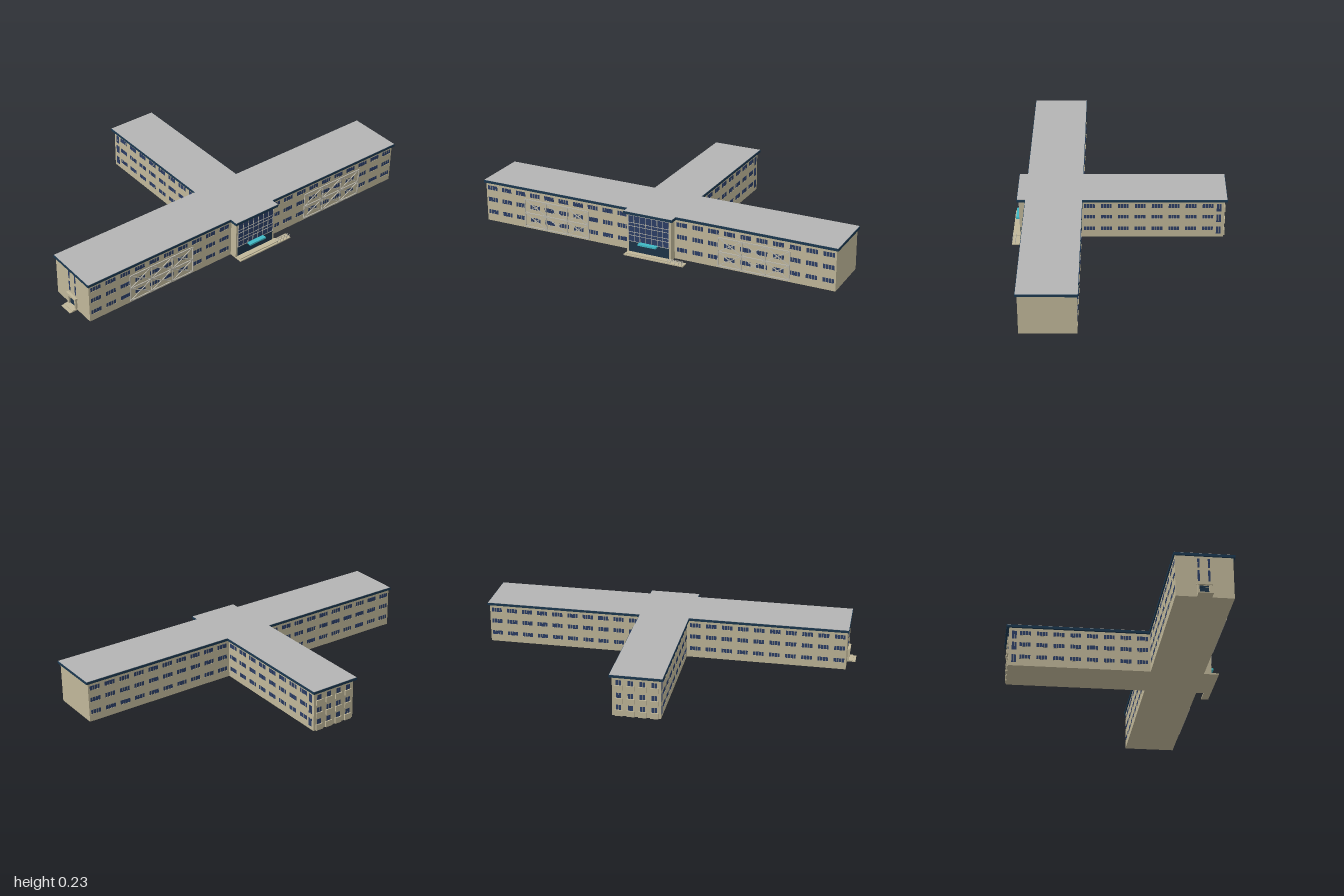
import * as THREE from 'three';
import { mergeGeometries } from 'three/addons/utils/BufferGeometryUtils.js';

const mat = (color) => new THREE.MeshStandardMaterial({ color });
const WALL = mat(0xc0b799), GLASS = mat(0x2c3e66), FASCIA = mat(0x1b3850), ROOF = mat(0xb4b4b4);
const STEEL = mat(0xb9b6aa), CANOPY = mat(0x3fb8c4), DOOR = mat(0x1d3448);

// Box given by its lower and upper corners
function box(x0, x1, y0, y1, z0, z1) {
  return new THREE.BoxGeometry(x1 - x0, y1 - y0, z1 - z0)
    .translate((x0 + x1) / 2, (y0 + y1) / 2, (z0 + z1) / 2);
}

// Slanted square bar between two points of a facade
function bar(x0, y0, x1, y1, t, z) {
  return new THREE.BoxGeometry(Math.hypot(x1 - x0, y1 - y0), t, t)
    .rotateZ(Math.atan2(y1 - y0, x1 - x0)).translate((x0 + x1) / 2, (y0 + y1) / 2, z);
}

function add(parent, name, geos, material) {
  const mesh = new THREE.Mesh(Array.isArray(geos) ? mergeGeometries(geos) : geos, material);
  mesh.name = name;
  parent.add(mesh);
  return mesh;
}

// Facade: local x runs along the wall, local z points outwards
function facade(parent, name, x, z, angle) {
  const g = new THREE.Group();
  g.name = name;
  g.position.set(x, 0, z);
  g.rotation.y = angle;
  parent.add(g);
  return g;
}

const FLOORS = [[0.04, 0.062], [0.109, 0.132], [0.174, 0.197]];

// Three floors of window groups with four panes each, between local a and b
function windows(parent, a, b, count) {
  const width = 0.056, pitch = (b - a - width) / (count - 1), panes = 4, gap = 0.0025;
  const pane = (width - gap * (panes - 1)) / panes;
  const glass = [], sills = [];
  for (const [y0, y1] of FLOORS) {
    for (let i = 0; i < count; i++) {
      const x = a + i * pitch;
      for (let j = 0; j < panes; j++) {
        const p = x + j * (pane + gap);
        glass.push(box(p, p + pane, y0, y1, -0.001, 0.001));
      }
      sills.push(box(x, x + width, y0 - 0.002, y0, -0.001, 0.002));
    }
  }
  add(parent, 'windows', glass, GLASS);
  add(parent, 'windowSills', sills, WALL);
}

// Braced steel frame, three bays wide and two tall
function truss(parent, a, b) {
  const parts = [], t = 0.005, z = 0.003, ys = [0.01, 0.085, 0.16], w = (b - a) / 3;
  for (const y of ys) parts.push(bar(a, y, b, y, t, z));
  for (let i = 0; i <= 3; i++) {
    const x = a + i * w;
    parts.push(bar(x, ys[0], x, ys[2], t, z));
    if (i === 3) break;
    for (let k = 0; k < 2; k++) {
      parts.push(bar(x, ys[k], x + w, ys[k + 1], t * 0.8, z));
      parts.push(bar(x, ys[k + 1], x + w, ys[k], t * 0.8, z));
    }
  }
  add(parent, 'bracedFrame', parts, STEEL);
}

// Flat plan made of the long bar, the wing and the entrance bay
function plan(x0, x1, xw, xe, z0, z1, w0, w1, y0, y1) {
  const points = [[x0, z1], [x1, z1], [x1, w1], [xe, w1], [xe, w0], [x1, w0], [x1, z0],
    [x0, z0], [x0, w0], [xw, w0], [xw, w1], [x0, w1]];
  const shape = new THREE.Shape(points.map(([x, z]) => new THREE.Vector2(x, -z)));
  return new THREE.ExtrudeGeometry(shape, { depth: y1 - y0, bevelEnabled: false })
    .rotateX(-Math.PI / 2).translate(0, y0, 0);
}

export function createModel() {
  const model = new THREE.Group();
  model.name = 'building';
  const R = Math.PI / 2;

  // Walls, fascia and roof
  add(model, 'walls', plan(0.195, 0.473, -0.54, 0.513, -0.99, 0.955, -0.143, 0.103, 0, 0.214), WALL);
  add(model, 'fascia', plan(0.188, 0.483, -0.555, 0.526, -1, 0.963, -0.155, 0.115, 0.213, 0.226), FASCIA);
  add(model, 'roof', plan(0.19, 0.481, -0.553, 0.524, -0.998, 0.961, -0.153, 0.113, 0.226, 0.228), ROOF);

  // Long sides of the bar
  const east = facade(model, 'eastFacade', 0.473, 0, R);
  windows(east, -0.945, -0.12, 10);
  windows(east, 0.155, 0.98, 10);
  truss(east, 0.38, 0.755);
  truss(east, -0.72, -0.345);
  const west = facade(model, 'westFacade', 0.195, 0, -R);
  windows(west, 0.12, 0.945, 10);
  windows(west, -0.98, -0.158, 10);

  // Wing sides with tall corner windows
  const sides = [facade(model, 'wingFront', 0, 0.103, 0), facade(model, 'wingBack', 0, -0.143, Math.PI)];
  sides.forEach((side, i) => {
    const s = i ? -1 : 1;
    windows(side, i ? -0.182 : -0.484, i ? 0.484 : 0.182, 8);
    const tall = [];
    for (const y of [0.018, 0.089, 0.152]) {
      for (const x of [-0.519, -0.506]) {
        tall.push(box(s * x - 0.0055, s * x + 0.0055, y, y + 0.044, -0.001, 0.001));
      }
    }
    add(side, 'cornerWindows', tall, GLASS);
  });

  // Wing end with balconies
  const end = facade(model, 'wingEnd', -0.54, -0.02, -R);
  const balconies = [], endGlass = [];
  [[0, 0.032], [0.07, 0.098], [0.14, 0.168]].forEach(([y0, y1]) => {
    for (let i = 0; i < 4; i++) {
      const x = -0.09 + i * 0.06;
      balconies.push(box(x - 0.02, x + 0.02, y0, y1, -0.001, 0.007));
      for (const d of [-0.007, 0.007]) {
        endGlass.push(box(x + d - 0.006, x + d + 0.006, y1, y1 + 0.027, -0.001, 0.001));
      }
    }
  });
  add(end, 'balconies', balconies, WALL);
  add(end, 'balconyWindows', endGlass, GLASS);

  // Front end of the bar: stair windows, doorway and steps
  const front = facade(model, 'frontEnd', 0.331, 0.955, 0);
  const slots = [];
  for (const x of [-0.025, 0.025]) {
    for (const [y0, y1] of [[0.083, 0.14], [0.155, 0.202]]) {
      const mid = (y0 + y1) / 2;
      slots.push(box(x - 0.005, x + 0.005, y0, mid - 0.001, -0.001, 0.001));
      slots.push(box(x - 0.005, x + 0.005, mid + 0.001, y1, -0.001, 0.001));
    }
  }
  add(front, 'stairWindows', slots, GLASS);
  add(front, 'doorSurround', [
    box(-0.035, -0.024, 0, 0.06, -0.001, 0.01), box(0.024, 0.035, 0, 0.06, -0.001, 0.01),
    box(-0.038, 0.038, 0.06, 0.071, -0.001, 0.014)], WALL);
  add(front, 'frontDoor', [
    box(-0.022, -0.001, 0.01, 0.048, 0, 0.002), box(0.001, 0.022, 0.01, 0.048, 0, 0.002),
    box(-0.022, 0.022, 0.05, 0.058, 0, 0.002)], DOOR);
  add(front, 'frontSteps', [
    box(-0.036, 0.036, 0, 0.004, 0, 0.045), box(-0.036, 0.036, 0.004, 0.008, 0, 0.03)], WALL);

  // Main entrance: glazed wall, doors, canopy
  const entry = facade(model, 'mainEntrance', 0.513, -0.02, R);
  const hw = 0.112, mullions = [];
  add(entry, 'glazing', box(-hw, hw, 0.068, 0.208, -0.001, 0.002), GLASS);
  add(entry, 'entranceDoors', box(-hw, hw, 0.008, 0.066, -0.001, 0.002), DOOR);
  for (let i = 0; i <= 7; i++) {
    const x = -hw + (2 * hw * i) / 7;
    mullions.push(box(x - 0.001, x + 0.001, 0.066, 0.208, 0, 0.004));
  }
  for (const y of [0.067, 0.1, 0.118, 0.15, 0.168, 0.207]) {
    mullions.push(box(-hw, hw, y - 0.001, y + 0.001, 0, 0.004));
  }
  add(entry, 'mullions', mullions, STEEL);
  add(entry, 'canopy', box(-0.05, 0.05, 0.06, 0.069, 0, 0.026), CANOPY);

  // Terrace in front of the entrance, with ramp rails
  add(model, 'terrace', [
    box(0.513, 0.552, 0, 0.006, -0.225, 0.103), box(0.513, 0.543, 0.006, 0.011, -0.15, 0.095)], WALL);
  const rails = [];
  for (const x of [0.535, 0.55]) {
    rails.push(box(x - 0.001, x + 0.001, 0.02, 0.022, -0.22, -0.14));
    for (let i = 0; i < 5; i++) {
      const z = -0.219 + i * 0.0195;
      rails.push(box(x - 0.001, x + 0.001, 0.005, 0.021, z - 0.001, z + 0.001));
    }
  }
  add(model, 'rampRails', rails, STEEL);
  return model;
}
